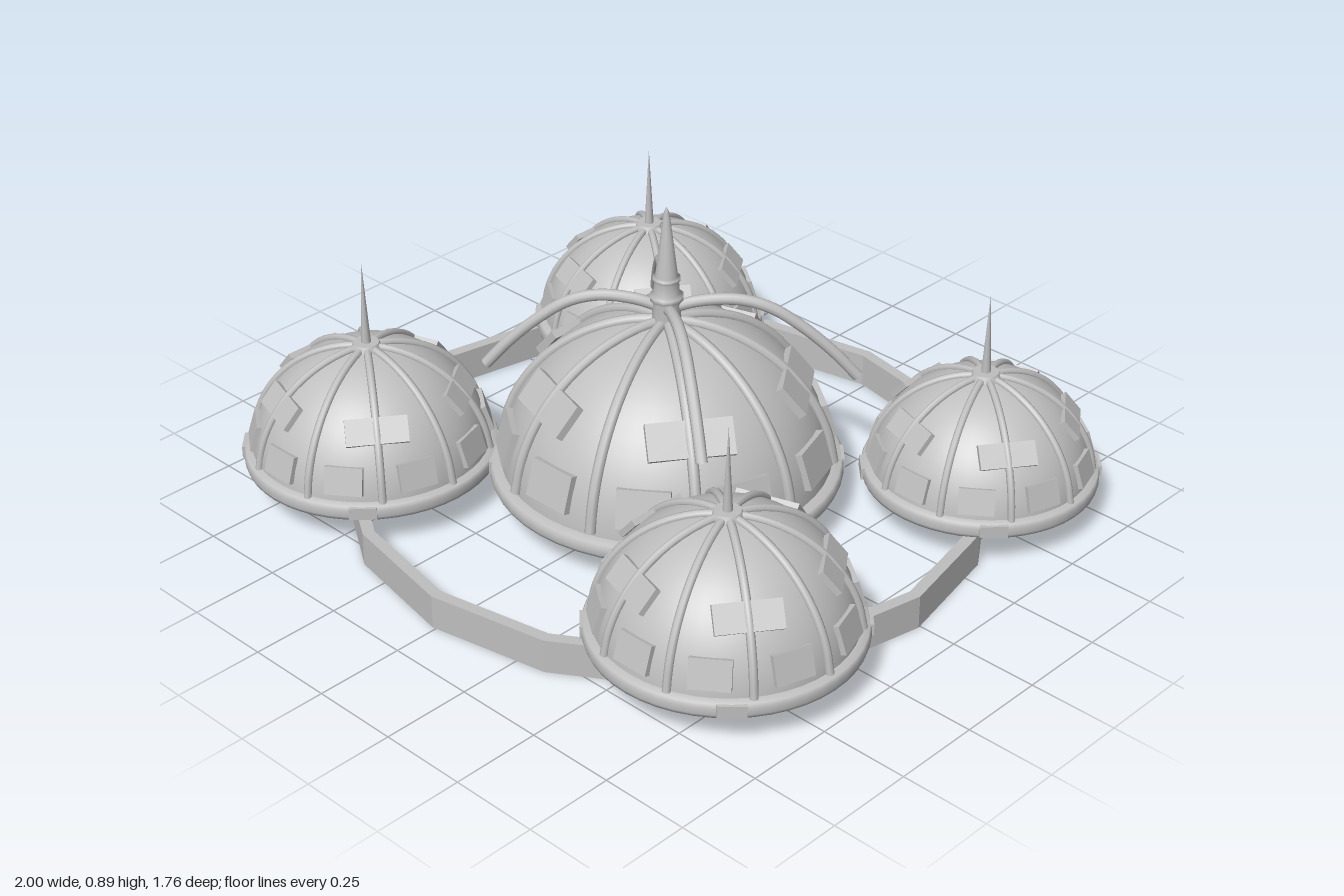
import * as THREE from 'three';

const grey = new THREE.MeshStandardMaterial({ color: 0xbfbfbf, side: THREE.DoubleSide });
grey.name = 'stone grey';

const BASE_Y = 0.1;
const TAU = Math.PI * 2;
const rad = THREE.MathUtils.degToRad;

function add(parent, name, geometry) {
  const mesh = new THREE.Mesh(geometry, grey);
  mesh.name = name;
  parent.add(mesh);
  return mesh;
}

function lathe(points, segments) {
  return new THREE.LatheGeometry(points.map(([x, y]) => new THREE.Vector2(x, y)), segments);
}

// Point on a sphere: azimuth runs from +x towards +z
function onSphere(r, azimuth, elevation) {
  const a = rad(azimuth), e = rad(elevation);
  return new THREE.Vector3(r * Math.cos(e) * Math.cos(a), r * Math.sin(e), r * Math.cos(e) * Math.sin(a));
}

// Flat plate lying against the dome
function panel(dome, name, R, azimuth, elevation, width, height, thickness) {
  const mesh = add(dome, name, new THREE.BoxGeometry(width, height, thickness));
  mesh.position.copy(onSphere(R, azimuth, elevation));
  mesh.rotation.set(-rad(elevation), rad(90 - azimuth), 0, 'YXZ');
}

// Ribbed, open-bottomed dome of radius R
function makeDome(name, R, x, z) {
  const dome = new THREE.Group();
  dome.name = name;
  dome.position.set(x, BASE_Y, z);

  add(dome, 'domeShell', new THREE.SphereGeometry(R, 48, 16, 0, TAU, 0, Math.PI / 2));

  // Rounded rim around the foot
  const h = 0.035;
  add(dome, 'rim', lathe([
    [R, -0.004], [R * 1.055, -0.004], [R * 1.065, 0.006], [R * 1.065, h * 0.7],
    [R * 1.05, h], [R * 0.99, h + 0.004],
  ], 48));
  for (let i = 0; i < 4; i++) {
    const block = add(dome, 'rimBlock', new THREE.BoxGeometry(0.075, 0.034, 0.02));
    block.position.copy(onSphere(R * 1.045, 45 + i * 90, 0)).setY(0.018);
    block.rotation.y = rad(45 - i * 90);
  }

  // Meridian ribs with two rows of plates
  for (let i = 0; i < 10; i++) {
    const points = [];
    for (let e = 6; e <= 90; e += 12) points.push(onSphere(R * 1.008, i * 36, e));
    add(dome, 'rib', new THREE.TubeGeometry(new THREE.CatmullRomCurve3(points), 20, R * 0.033, 8));
    panel(dome, 'lowerPanel', R, 18 + i * 36, 17, R * 0.315, R * 0.235, R * 0.05);
  }
  for (let i = 0; i < 5; i++) {
    panel(dome, 'upperPanel', R, 36 + i * 72, 40, R * 0.51, R * 0.22, R * 0.05);
  }
  return dome;
}

export function createModel() {
  const model = new THREE.Group();
  model.name = 'domedSettlement';

  // Faceted ring wall joining the domes
  const ringShape = new THREE.Shape();
  const hole = new THREE.Path();
  const ringPoints = (rx, rz) => Array.from({ length: 16 }, (_, i) =>
    new THREE.Vector2(rx * Math.cos(i * TAU / 16), rz * Math.sin(i * TAU / 16)));
  ringShape.setFromPoints(ringPoints(0.9, 0.864));
  hole.setFromPoints(ringPoints(0.866, 0.831));
  ringShape.holes.push(hole);
  const ringGeometry = new THREE.ExtrudeGeometry(ringShape, { depth: 0.097, bevelEnabled: false });
  ringGeometry.rotateX(-Math.PI / 2);
  add(model, 'ringWall', ringGeometry).position.set(-0.01, 0, 0.007);

  // Central dome with stepped spire
  const cx = -0.01, cz = 0.005;
  const centre = makeDome('centralDome', 0.455, cx, cz);
  add(centre, 'centralSpire', lathe([
    [0.042, 0.43], [0.038, 0.515], [0.046, 0.52], [0.046, 0.533], [0.036, 0.538],
    [0.034, 0.575], [0.038, 0.578], [0.038, 0.586], [0.031, 0.59], [0.008, 0.775], [0, 0.793],
  ], 12));
  model.add(centre);

  // Outer domes with needle spires: radius, x, z
  const outer = [
    [0.33, -0.65, 0.513], [0.342, 0.631, 0.455],
    [0.316, -0.607, -0.54], [0.304, 0.631, -0.561],
  ];
  for (const [R, x, z] of outer) {
    const dome = makeDome('outerDome', R, x, z);
    add(dome, 'cap', new THREE.CylinderGeometry(0.035, 0.045, 0.02, 16)).position.y = R + 0.004;
    add(dome, 'needleSpire', new THREE.ConeGeometry(0.014, 0.25, 10)).position.y = R + 0.125;
    model.add(dome);

    // Arched pipe from the central spire towards this dome: share of the way, height
    const path = [[0.02, 0.595], [0.1, 0.615], [0.22, 0.622], [0.32, 0.6], [0.42, 0.545], [0.52, 0.47], [0.6, 0.395]];
    const curve = new THREE.CatmullRomCurve3(path.map(([t, y]) =>
      new THREE.Vector3(cx + (x - cx) * t, y, cz + (z - cz) * t)));
    add(model, 'archedPipe', new THREE.TubeGeometry(curve, 32, 0.016, 10));
  }
  return model;
}
